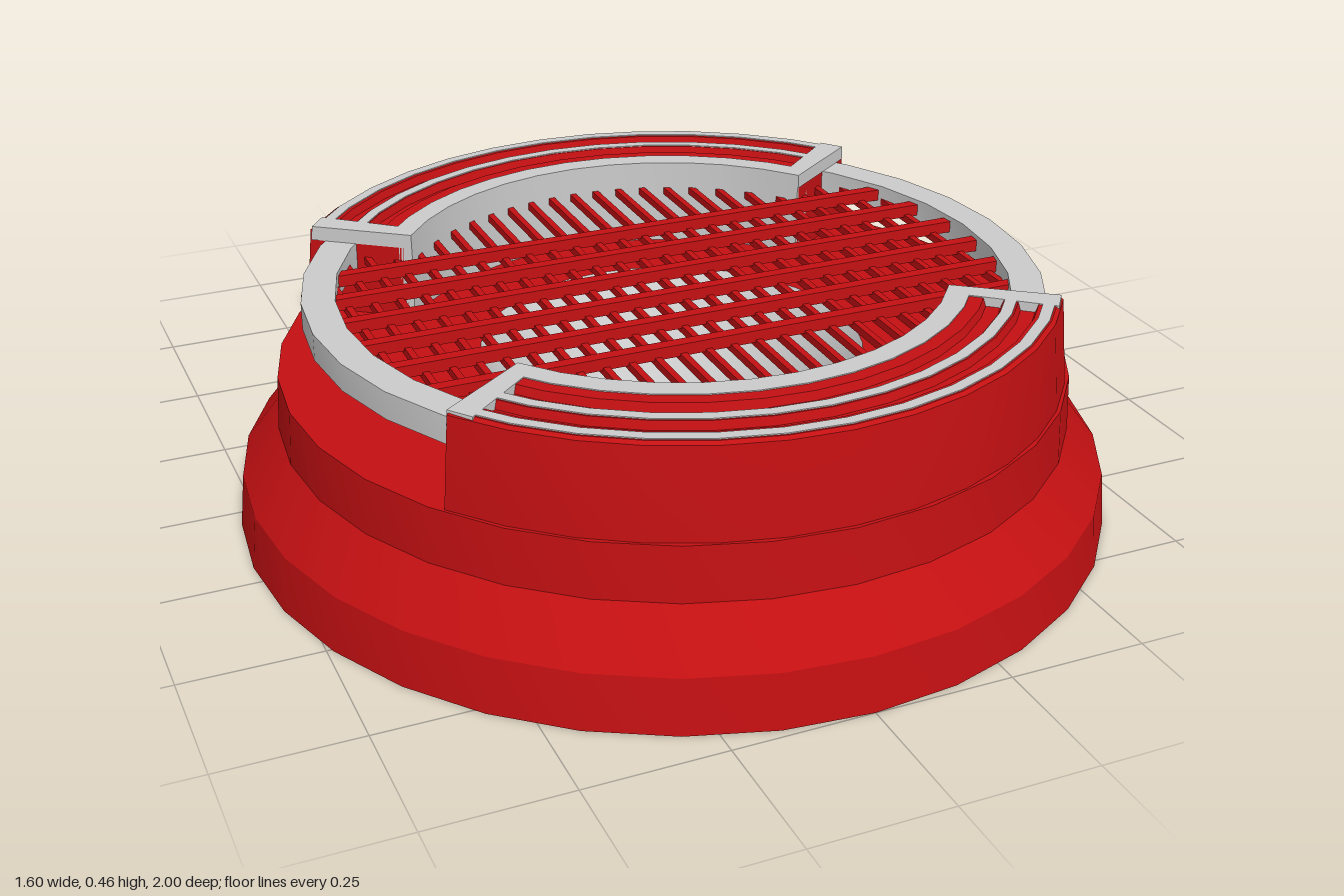
import * as THREE from 'three';
import { mergeGeometries, toCreasedNormals } from 'three/addons/utils/BufferGeometryUtils.js';

const CZ = 0.2; // centre of the round body along z
const RAD = Math.PI / 180;
const red = new THREE.MeshStandardMaterial({ color: 0xc41012 });
const grey = new THREE.MeshStandardMaterial({ color: 0xcccccc });
const vec = (list) => list.map(([x, y]) => new THREE.Vector2(x, y));

function add(parent, name, geometry, material, x = 0, y = 0, z = 0) {
  const mesh = new THREE.Mesh(geometry, material);
  mesh.name = name;
  mesh.position.set(x, y, z);
  parent.add(mesh);
}

// Full turned solid
function turned(profile, segments = 32) {
  return toCreasedNormals(new THREE.LatheGeometry(vec(profile), segments), 0.4);
}

// Closed profile swept through part of a turn, with capped ends
function arcSolid(profile, midDeg, halfDeg, segments = 12) {
  const start = (midDeg - halfDeg) * RAD, length = 2 * halfDeg * RAD;
  const parts = [toCreasedNormals(
    new THREE.LatheGeometry(vec([...profile, profile[0]]), segments, start, length), 0.4)];
  [start, start + length].forEach((phi, i) => {
    const cap = new THREE.ShapeGeometry(new THREE.Shape(vec(profile)));
    if (i === 1) { // turn the far cap to face outward
      const index = cap.index.array;
      for (let k = 0; k < index.length; k += 3) {
        [index[k], index[k + 1]] = [index[k + 1], index[k]];
      }
    }
    cap.rotateY(phi - Math.PI / 2);
    const flat = cap.toNonIndexed();
    flat.computeVertexNormals();
    parts.push(flat);
  });
  return mergeGeometries(parts);
}

// Plan outline [x, z] raised between two height rules of (z, x)
function slopedSlab(outline, bottom, top) {
  const shape = new THREE.Shape(vec(outline.map(([x, z]) => [x, -z])));
  const g = new THREE.ExtrudeGeometry(shape, { depth: 1, bevelEnabled: false });
  g.rotateX(-Math.PI / 2);
  const p = g.attributes.position;
  for (let i = 0; i < p.count; i++) {
    const rule = p.getY(i) > 0.5 ? top : bottom;
    p.setY(i, rule(p.getZ(i), p.getX(i)));
  }
  g.computeVertexNormals();
  return g;
}

// Mirror a half outline across x = 0
const mirrored = (half) => [...half, ...half.slice().reverse().map(([x, z]) => [-x, z])];

// Points following the body wall at radius r, from the middle of the back to x
function wallArc(r, xEnd, n = 6) {
  return Array.from({ length: n + 1 }, (_, i) => {
    const x = xEnd * (i + 0.05) / (n + 0.05);
    return [x, CZ - Math.sqrt(r * r - x * x)];
  });
}

export function createModel() {
  const model = new THREE.Group();
  model.name = 'roundBaseWithRamp';

  // Round body with a flat deck and a steep sunken middle
  add(model, 'body', turned([
    [0, 0], [0.8, 0], [0.79, 0.1], [0.72, 0.19], [0.715, 0.29], [0.35, 0.29]]), red, 0, 0, CZ);
  add(model, 'deckRecess', turned([[0.35, 0.29], [0.21, 0.09], [0, 0.09]]), grey, 0, 0, CZ);

  // Raised rail between the two blocks
  add(model, 'rail', turned([
    [0.605, 0.38], [0.665, 0.38], [0.665, 0.43], [0.605, 0.43], [0.605, 0.38]]), grey, 0, 0, CZ);

  // Front and back blocks with grooved tops
  const block = [
    [0.5, 0.27], [0.708, 0.27], [0.708, 0.29], [0.692, 0.45], [0.685, 0.455],
    [0.655, 0.455], [0.65, 0.44], [0.625, 0.44], [0.62, 0.455], [0.595, 0.455],
    [0.59, 0.44], [0.565, 0.44], [0.56, 0.455], [0.5, 0.455]];
  const lining = [[0.494, 0.27], [0.535, 0.27], [0.535, 0.457], [0.494, 0.457]];
  const endTrim = [[0.494, 0.43], [0.691, 0.43], [0.688, 0.457], [0.494, 0.457]];
  for (const [side, deg] of [['front', 0], ['back', 180]]) {
    add(model, side + 'Block', arcSolid(block, deg, 54), red, 0, 0, CZ);
    add(model, side + 'BlockLining', arcSolid(lining, deg, 54), grey, 0, 0, CZ);
    for (const r of [0.607, 0.672]) { // pale ridges on top
      add(model, side + 'BlockRidge', arcSolid(
        [[r - 0.01, 0.44], [r + 0.01, 0.44], [r + 0.01, 0.457], [r - 0.01, 0.457]],
        deg, 54), grey, 0, 0, CZ);
    }
    for (const s of [-1, 1]) {
      add(model, side + 'BlockEndTrim', arcSolid(endTrim, deg + s * 52.2, 2, 1), grey, 0, 0, CZ);
    }
  }

  // Grate level with the rail: wide bars across, thin bars front to back
  const grate = new THREE.Group();
  grate.name = 'grate';
  model.add(grate);
  const chord = (d) => 2 * Math.sqrt(0.625 ** 2 - d * d);
  for (let i = 0; i < 6; i++) {
    const d = -0.25 + i * 0.1;
    add(grate, 'crossBar', new THREE.BoxGeometry(chord(d), 0.022, 0.022), red, 0, 0.41, CZ + d);
  }
  for (let i = -12; i <= 12; i++) {
    const x = i * 0.047;
    add(grate, 'longBar', new THREE.BoxGeometry(0.012, 0.014, chord(x)), red, x, 0.397, CZ);
  }

  // Stepped lip over the entrance
  add(model, 'entranceLip', arcSolid(
    [[0.66, 0.245], [0.74, 0.245], [0.74, 0.285], [0.66, 0.285]], 180, 35), red, 0, 0, CZ);
  add(model, 'entranceStep', arcSolid(
    [[0.66, 0.17], [0.725, 0.17], [0.725, 0.215], [0.66, 0.215]], 180, 33), red, 0, 0, CZ);

  // Ramp: wedge base, raised panel with a notch, and a recessed notch floor
  const base = (z) => Math.max(0.008, 0.165 + (z + 0.43) * 0.29);
  const panel = (z) => 0.185 + (z + 0.43) * 0.285;
  const zero = () => 0;
  add(model, 'rampBase', slopedSlab(mirrored([
    ...wallArc(0.67, 0.33), [0.31, -0.93], [0.2, -0.955]]), zero, base), red);
  add(model, 'rampPanel', slopedSlab(mirrored([
    ...wallArc(0.67, 0.335), [0.31, -0.96], [0.205, -1], [0.205, -0.825], [0.19, -0.815]]),
  (z) => Math.max(0, base(z) - 0.01), panel), grey);
  add(model, 'notchFloor', slopedSlab(mirrored([
    [0.205, -0.8], [0.205, -0.96]]), zero, (z) => base(z) + 0.003), grey);
  add(model, 'rampInset', slopedSlab(mirrored([
    [0.3, -0.54], [0.26, -0.77]]), base, (z) => panel(z) + 0.002), red);

  for (const s of [-1, 1]) {
    // Cheeks beside the panel, falling away outward
    const cheek = [[0.33, -0.4], [0.43, -0.37], [0.43, -0.9], [0.31, -0.945]];
    add(model, 'rampCheek', slopedSlab(cheek.map(([x, z]) => [x * s, z]), zero,
      (z, x) => Math.max(0.004, base(z) + 0.005 + (0.335 - Math.abs(x)) * 0.35)), red);
    // Posts at the sides of the entrance
    const post = [[0.335, -0.36], [0.42, -0.32], [0.42, -0.42], [0.335, -0.47]];
    add(model, 'entrancePost', slopedSlab(post.map(([x, z]) => [x * s, z]),
      () => 0.12, () => 0.28), grey);
  }
  return model;
}
